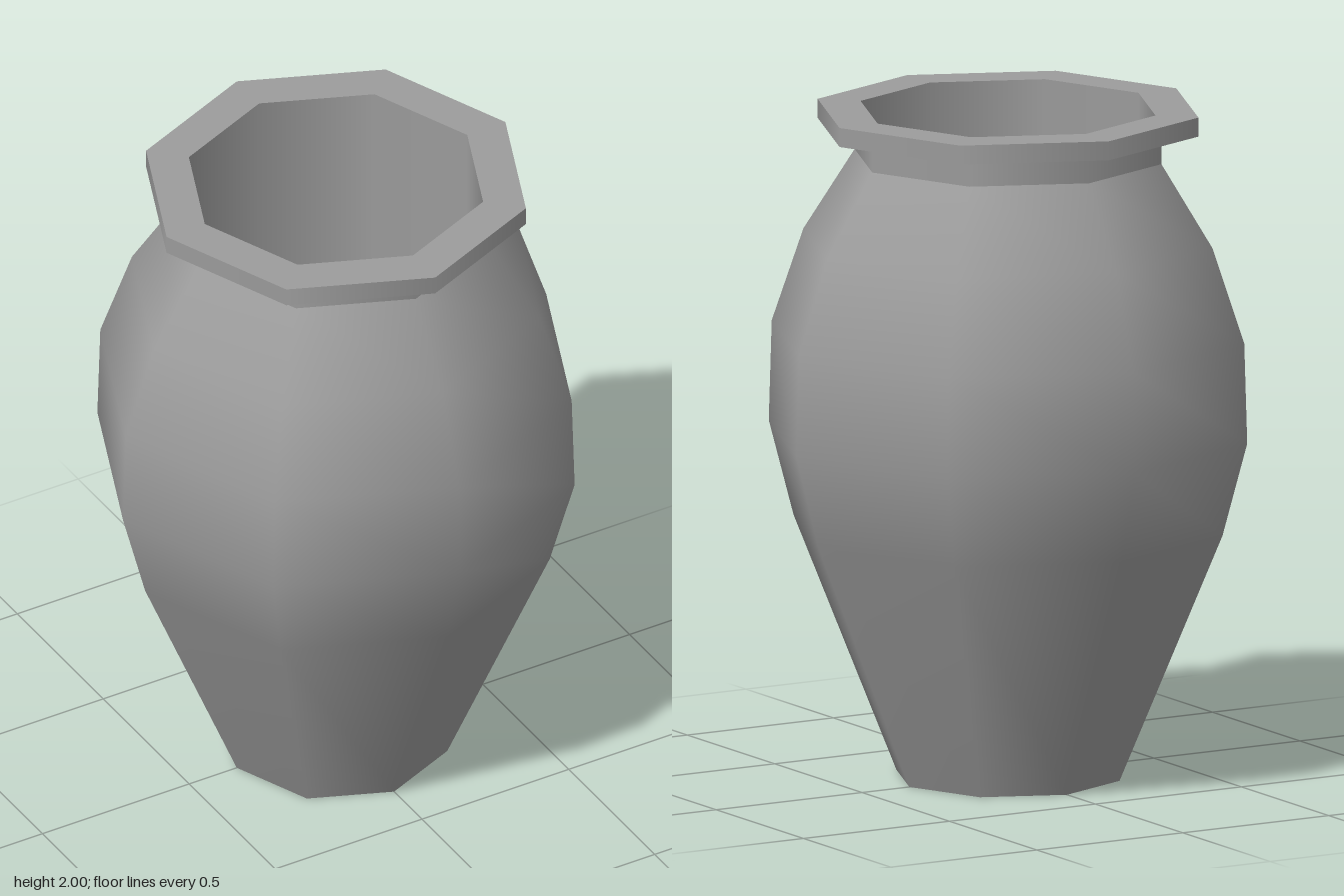
import * as THREE from 'three';

const SIDES = 8;

export function createModel() {
  const group = new THREE.Group();
  group.name = 'vase';
  const material = new THREE.MeshStandardMaterial({ color: 0x9d9d9d });

  // One smooth octagonal band; separate bands meet at sharp edges.
  // Profiles run bottom to top outside, then top to bottom inside.
  const band = (name, profile) => {
    const points = profile.map(([r, y]) => new THREE.Vector2(r, y));
    const geometry = new THREE.LatheGeometry(points, SIDES);
    geometry.normalizeNormals(); // the last profile point is left unnormalized
    const mesh = new THREE.Mesh(geometry, material);
    mesh.name = name;
    group.add(mesh);
  };

  // Foot and rounded belly
  band('base', [[0, 0], [0.338, 0]]);
  band('body', [
    [0.338, 0], [0.65, 0.75], [0.725, 1.03],
    [0.716, 1.33], [0.62, 1.61], [0.465, 1.855],
  ]);

  // Neck and overhanging lip
  band('neck', [[0.465, 1.855], [0.465, 1.943]]);
  band('lipUnderside', [[0.465, 1.943], [0.577, 1.943]]);
  band('lipEdge', [[0.577, 1.943], [0.577, 2]]);
  band('lipTop', [[0.577, 2], [0.447, 2]]);

  // Straight-walled hollow with a flat floor
  band('innerWall', [[0.447, 2], [0.447, 1.03]]);
  band('innerFloor', [[0.447, 1.03], [0, 1.03]]);

  return group;
}
